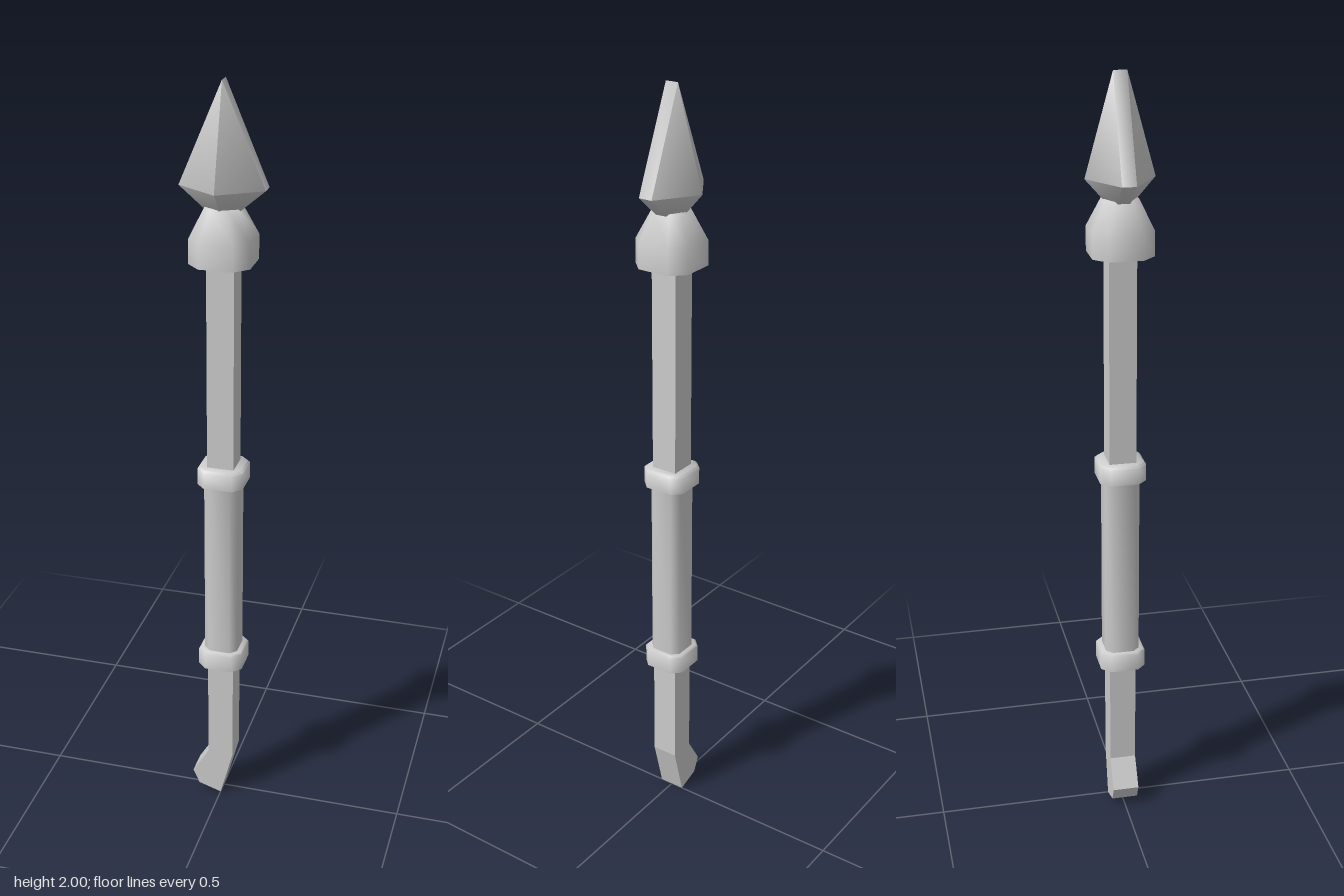
import * as THREE from 'three';
import { toCreasedNormals } from 'three/addons/utils/BufferGeometryUtils.js';

const material = new THREE.MeshStandardMaterial({ color: 0xcccccc });

// Closed solid through rings of [x, z] corners: sections = [[y, ring], ...] from bottom to top
function loft(sections) {
  const n = sections[0][1].length;
  const pts = sections.map(([y, ring]) => ring.map(([x, z]) => new THREE.Vector3(x, y, z)));
  const pos = [];
  const tri = (a, b, c) => {
    if (new THREE.Triangle(a, b, c).getArea() < 1e-9) return;
    for (const p of [a, b, c]) pos.push(p.x, p.y, p.z);
  };
  for (let s = 0; s < pts.length - 1; s++) {
    for (let i = 0; i < n; i++) {
      const j = (i + 1) % n;
      const lo = pts[s], hi = pts[s + 1];
      tri(lo[i], hi[i], hi[j]);
      tri(lo[i], hi[j], lo[j]);
    }
  }
  const top = pts[pts.length - 1], bottom = pts[0];
  for (let i = 1; i < n - 1; i++) {
    tri(top[0], top[i + 1], top[i]);
    tri(bottom[0], bottom[i], bottom[i + 1]);
  }
  const g = new THREE.BufferGeometry();
  g.setAttribute('position', new THREE.Float32BufferAttribute(pos, 3));
  return toCreasedNormals(g, 1.2);
}

// Square of half width a with cut corners, flats of half length b
const octagon = (a, b) => [[a, b], [b, a], [-b, a], [-a, b], [-a, -b], [-b, -a], [b, -a], [a, -b]];

// Six-cornered blade section: flat edges at +-x, ridges at +-z
const blade = (x, edge, z) => [[x, edge], [0, z], [-x, edge], [-x, -edge], [0, -z], [x, -edge]];

export function createModel() {
  const group = new THREE.Group();
  const add = (name, geometry) => {
    const mesh = new THREE.Mesh(geometry, material);
    mesh.name = name;
    group.add(mesh);
  };

  // Square shaft with a hooked foot
  const outline = new THREE.Shape([
    [0, 0], [0.035, 0.135], [0.035, 1.6], [-0.035, 1.6],
    [-0.035, 0.135], [-0.08, 0.06], [-0.062, 0.02],
  ].map(([x, y]) => new THREE.Vector2(x, y)));
  const shaft = new THREE.ExtrudeGeometry(outline, { depth: 0.07, bevelEnabled: false });
  shaft.translate(0, 0, -0.035);
  add('shaft', shaft);

  // Grip between two rings
  add('grip', loft([[0.45, octagon(0.045, 0.028)], [1.0, octagon(0.045, 0.028)]]));
  for (const [name, y] of [['lowerRing', 0.425], ['upperRing', 0.97]]) {
    add(name, loft([
      [y, octagon(0.06, 0.037)],
      [y + 0.045, octagon(0.06, 0.037)],
      [y + 0.05, octagon(0.055, 0.034)],
    ]));
  }

  // Collar under the head
  add('collar', loft([
    [1.562, octagon(0.077, 0.043)],
    [1.625, octagon(0.077, 0.043)],
    [1.7, octagon(0.042, 0.022)],
  ]));

  // Spearhead, ending in a short ridge along z
  add('spearhead', loft([
    [1.69, blade(0.04, 0.015, 0.036)],
    [1.748, blade(0.107, 0.018, 0.087)],
    [2, blade(0, 0.017, 0.017)],
  ]));

  return group;
}
